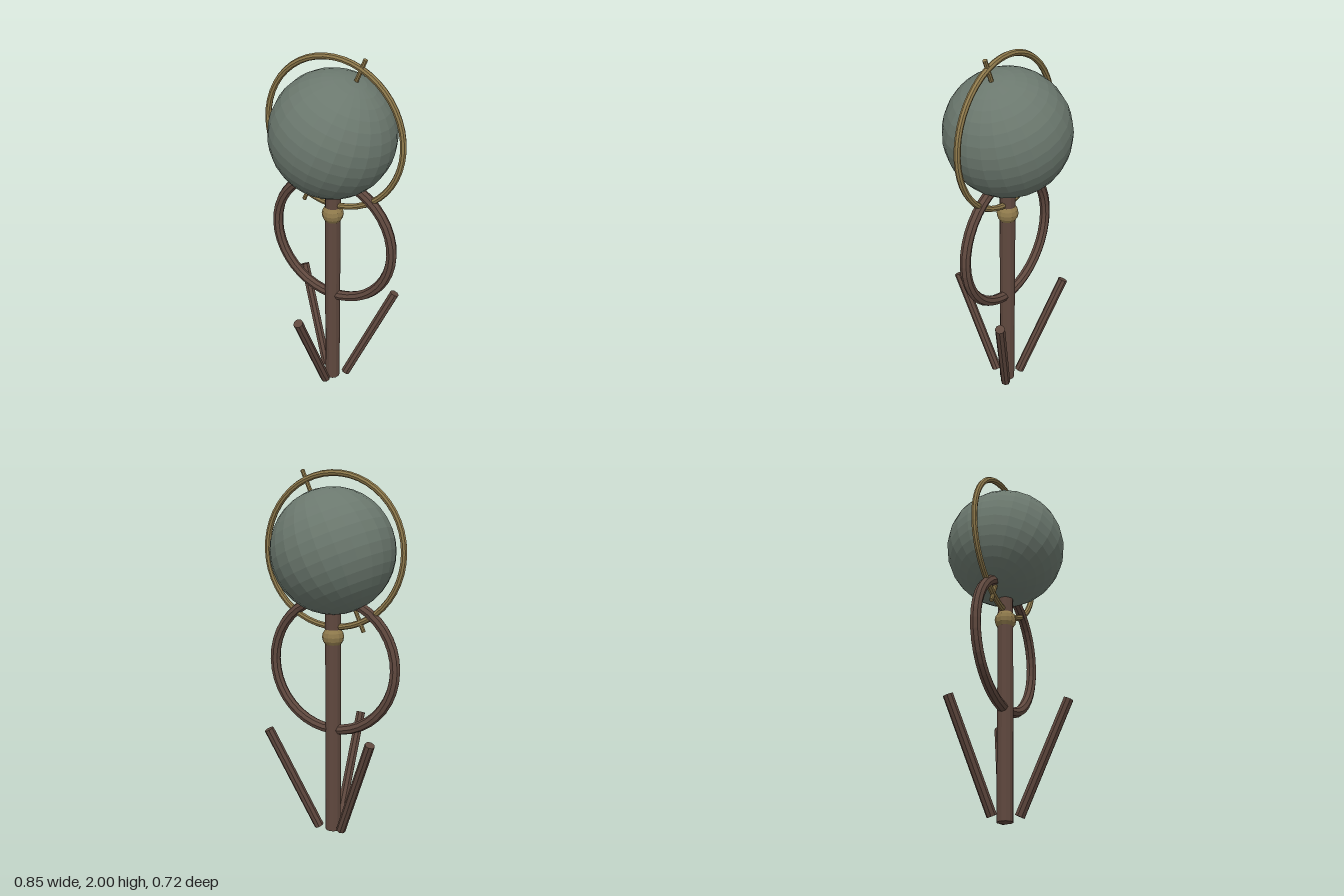
import * as THREE from 'three';

const wood = new THREE.MeshStandardMaterial({ color: 0x5f483e, flatShading: true });
const brass = new THREE.MeshStandardMaterial({ color: 0x8f7a4c, flatShading: true });
const slate = new THREE.MeshStandardMaterial({ color: 0x6b786e, flatShading: true });

function add(parent, name, geometry, material, y = 0) {
  const mesh = new THREE.Mesh(geometry, material);
  mesh.name = name;
  mesh.position.y = y;
  parent.add(mesh);
  return mesh;
}

// Straight rod between two points
function addRod(parent, name, from, to, radius, sides, material) {
  const dir = to.clone().sub(from);
  const rod = add(parent, name, new THREE.CylinderGeometry(radius, radius, dir.length(), sides), material);
  rod.position.copy(from).add(to).multiplyScalar(0.5);
  rod.quaternion.setFromUnitVectors(new THREE.Vector3(0, 1, 0), dir.normalize());
  return rod;
}

export function createModel() {
  const model = new THREE.Group();
  model.name = 'globeOnStand';

  // The column axis sits slightly behind centre because of the front leg
  const body = new THREE.Group();
  body.name = 'body';
  body.position.z = -0.022;
  model.add(body);

  // Stand: column, collar and lower hoop
  add(body, 'column', new THREE.CylinderGeometry(0.043, 0.043, 1.27, 12), wood, 0.635);
  add(body, 'collar', new THREE.SphereGeometry(0.06, 12, 8), brass, 1.115);
  add(body, 'lowerHoop', new THREE.TorusGeometry(0.367, 0.029, 8, 40), wood, 0.96);

  // Three legs splaying outwards, one to the front
  for (let i = 0; i < 3; i++) {
    const pivot = new THREE.Group();
    pivot.name = 'leg';
    pivot.rotation.y = (i * Math.PI * 2) / 3;
    body.add(pivot);
    addRod(pivot, 'legRod', new THREE.Vector3(0, 0.021, 0.08),
      new THREE.Vector3(0, 0.598, 0.355), 0.027, 8, wood);
  }

  // Tilted globe with its axis rod and meridian ring
  const globe = new THREE.Group();
  globe.name = 'tiltedGlobe';
  globe.position.y = 1.576;
  globe.rotation.z = -THREE.MathUtils.degToRad(23.5);
  body.add(globe);
  add(globe, 'globe', new THREE.SphereGeometry(0.337, 24, 18), slate);
  add(globe, 'axisRod', new THREE.CylinderGeometry(0.012, 0.012, 0.92, 8), brass);
  add(globe, 'meridianRing', new THREE.TorusGeometry(0.406, 0.017, 8, 48), brass);

  return model;
}
